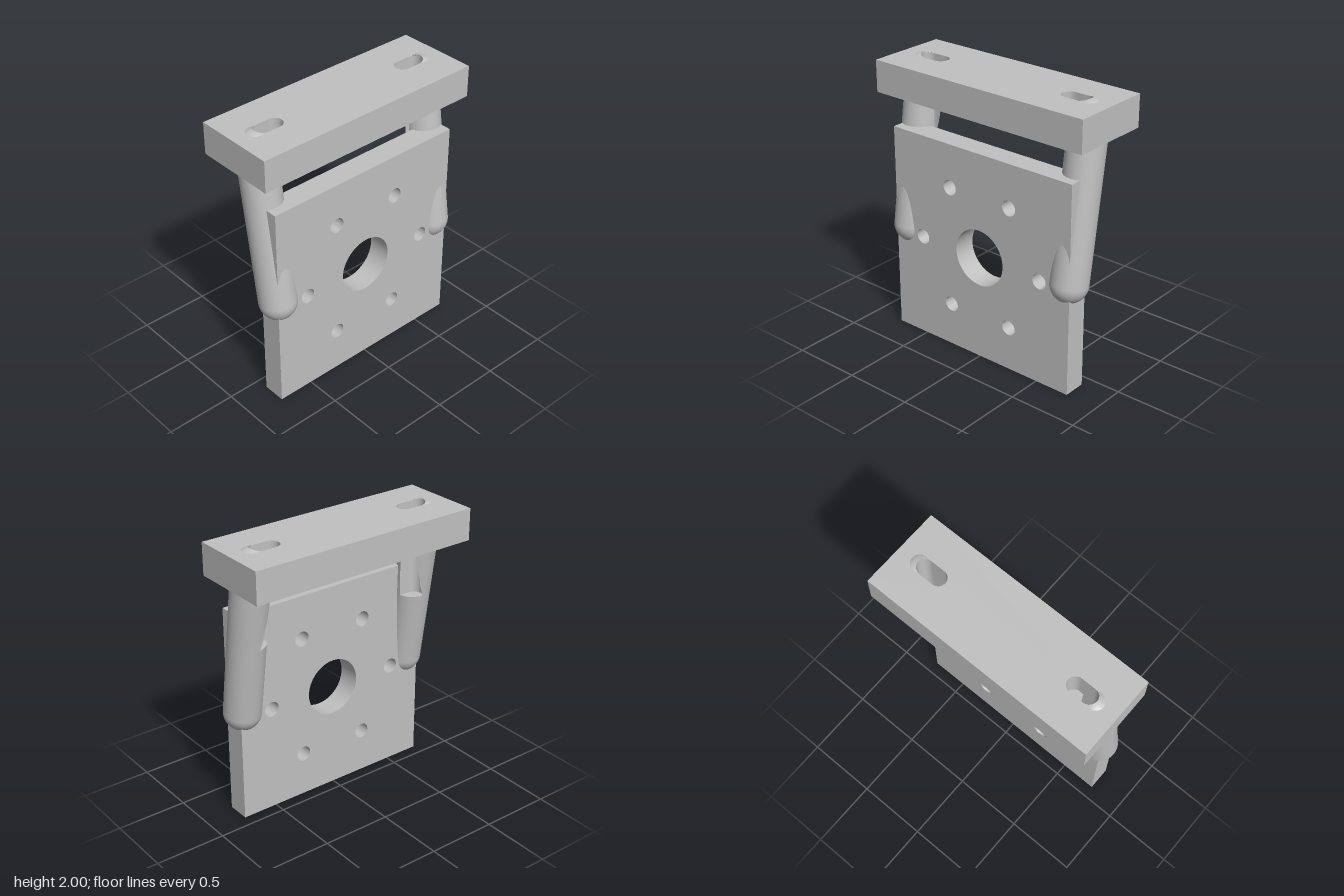
import * as THREE from 'three';
import { toCreasedNormals } from 'three/addons/utils/BufferGeometryUtils.js';

// Leg: a leaning round-ended rod
const R = 0.13, LEG_X = 0.695, Y0 = 0.78, Y1 = 1.87, Z0 = 0.165;
const SLOPE = -Z0 / (Y1 - Y0), TILT = Math.atan(SLOPE);
const STRETCH = 1 / Math.cos(TILT);
// Slot: cut straight down through the cap and into the legs
const SLOT_R = 0.057, SLOT_IN = 0.542, SLOT_OUT = 0.648, FLOOR = 1.31;

const axisZ = (y) => Z0 + SLOPE * (y - Y0);

function rectangle(x0, y0, x1, y1) {
  return new THREE.Shape([[x0, y0], [x1, y0], [x1, y1], [x0, y1]].map((p) => new THREE.Vector2(...p)));
}

function extrude(shape, depth) {
  const g = new THREE.ExtrudeGeometry(shape, { depth, bevelEnabled: false, curveSegments: 32 });
  return toCreasedNormals(g, 0.5);
}

// Mounting plate with a central bore and a ring of bolt holes
function plateGeometry() {
  const shape = rectangle(-0.76, 0, 0.76, 1.522);
  const hole = (x, y, r) => shape.holes.push(new THREE.Path().absarc(x, y, r, 0, Math.PI * 2, true));
  hole(0, 0.765, 0.205);
  for (let i = 0; i < 6; i++) {
    const a = i * Math.PI / 3;
    hole(0.513 * Math.cos(a), 0.765 + 0.513 * Math.sin(a), 0.055);
  }
  return extrude(shape, 0.165).translate(0, 0, 0.085);
}

// Cap block with two slots
function capGeometry() {
  const shape = rectangle(-0.86, -0.295, 0.86, 0.295);
  for (const s of [-1, 1]) {
    const c = s * (SLOT_IN + SLOT_OUT) / 2, h = (SLOT_OUT - SLOT_IN) / 2;
    const slot = new THREE.Path();
    slot.absarc(c + h, 0, SLOT_R, -Math.PI / 2, Math.PI / 2, false);
    slot.absarc(c - h, 0, SLOT_R, Math.PI / 2, Math.PI * 1.5, false);
    slot.closePath();
    shape.holes.push(slot);
  }
  return extrude(shape, 0.227).rotateX(-Math.PI / 2).translate(0, 1.758, 0);
}

// Lower leg: round end and shaft, sliced level at the slot floor
function lowerLegGeometry() {
  const profile = [];
  for (let i = 0; i <= 16; i++) {
    const a = i / 16 * Math.PI / 2;
    profile.push(new THREE.Vector2(R * Math.sin(a), -R * Math.cos(a)));
  }
  profile.push(new THREE.Vector2(R, 0.8));
  const g = new THREE.LatheGeometry(profile, 64).rotateX(TILT).translate(0, Y0, Z0);
  const p = g.attributes.position;
  for (let i = 0; i < p.count; i++) {
    const over = p.getY(i) - FLOOR;
    if (over > 0) p.setXYZ(i, p.getX(i), FLOOR, p.getZ(i) - SLOPE * over);
  }
  return g;
}

// Level outline of the leg at height y, with the slot taken out of its inner side
function notchedOutline(y) {
  const up = Math.max(0, y - Y1);
  const r = Math.sqrt(Math.max(0, R * R - up * up));
  const b = up > 0 ? r : r * STRETCH, zc = up > 0 ? 0 : axisZ(y);
  const slotEnd = (z) => SLOT_OUT + Math.sqrt(Math.max(0, SLOT_R * SLOT_R - z * z));
  const pts = [];
  // outer half
  for (let i = 0; i <= 32; i++) {
    const a = -Math.PI / 2 + i / 32 * Math.PI;
    const z = zc + b * Math.sin(a);
    let x = LEG_X + r * Math.cos(a);
    if (Math.abs(z) < SLOT_R) x = Math.max(x, slotEnd(z));
    pts.push([x, z]);
  }
  // inner half: front horn, slot end, back horn
  const hi = Math.min(SLOT_R, zc + b), lo = Math.max(-SLOT_R, zc - b);
  const horn = (from, to) => {
    const a0 = b ? Math.asin(THREE.MathUtils.clamp((from - zc) / b, -1, 1)) : 0;
    const a1 = b ? Math.asin(THREE.MathUtils.clamp((to - zc) / b, -1, 1)) : 0;
    for (let i = 0; i <= 12; i++) {
      const a = a0 + (a1 - a0) * i / 12;
      let x = LEG_X - r * Math.cos(a);
      if (up > 0 && hi < SLOT_R) x = Math.max(x, slotEnd(zc + b * Math.sin(a)));
      pts.push([x, zc + b * Math.sin(a)]);
    }
  };
  horn(zc + b, hi);
  for (let i = 0; i <= 16; i++) {
    const t = (1 - Math.cos(i / 16 * Math.PI)) / 2;
    const z = hi + (lo - hi) * t;
    pts.push([slotEnd(z), z]);
  }
  horn(lo, zc - b);
  return pts;
}

// Upper leg: loft of notched outlines, ending in a dome
function upperLegGeometry(side) {
  const levels = [];
  for (let i = 0; i <= 12; i++) levels.push(FLOOR + (Y1 - FLOOR) * i / 12);
  for (let i = 1; i <= 16; i++) levels.push(Y1 + R * Math.sin(i / 16 * Math.PI / 2));
  const rings = levels.map(notchedOutline), n = rings[0].length;
  const pos = [], idx = [];
  rings.forEach((ring, i) => ring.forEach(([x, z]) => pos.push(side * x, levels[i], z)));
  for (let i = 0; i < rings.length - 1; i++) {
    for (let j = 0; j < n; j++) {
      const a = i * n + j, b = i * n + (j + 1) % n, c = a + n, d = b + n;
      if (side > 0) idx.push(a, c, b, b, c, d);
      else idx.push(a, b, c, b, d, c);
    }
  }
  const g = new THREE.BufferGeometry();
  g.setAttribute('position', new THREE.Float32BufferAttribute(pos, 3));
  g.setIndex(idx);
  return toCreasedNormals(g, 0.5);
}

export function createModel() {
  const model = new THREE.Group();
  model.name = 'mountingBracket';
  const metal = new THREE.MeshStandardMaterial({ color: 0xc0c0c0 });
  metal.name = 'grey metal';

  const add = (parent, name, geometry) => {
    const mesh = new THREE.Mesh(geometry, metal);
    mesh.name = name;
    parent.add(mesh);
    return mesh;
  };

  add(model, 'mountingPlate', plateGeometry());
  add(model, 'capBlock', capGeometry());

  for (const side of [1, -1]) {
    const leg = new THREE.Group();
    leg.name = side > 0 ? 'leftLeg' : 'rightLeg';
    add(leg, 'lowerLeg', lowerLegGeometry()).position.x = side * LEG_X;
    add(leg, 'upperLeg', upperLegGeometry(side));
    // floor of the slot cut
    const floor = new THREE.CircleGeometry(R, 64).rotateX(-Math.PI / 2).scale(1, 1, STRETCH);
    add(leg, 'slotFloor', floor).position.set(side * LEG_X, FLOOR, axisZ(FLOOR));
    model.add(leg);
  }
  return model;
}
